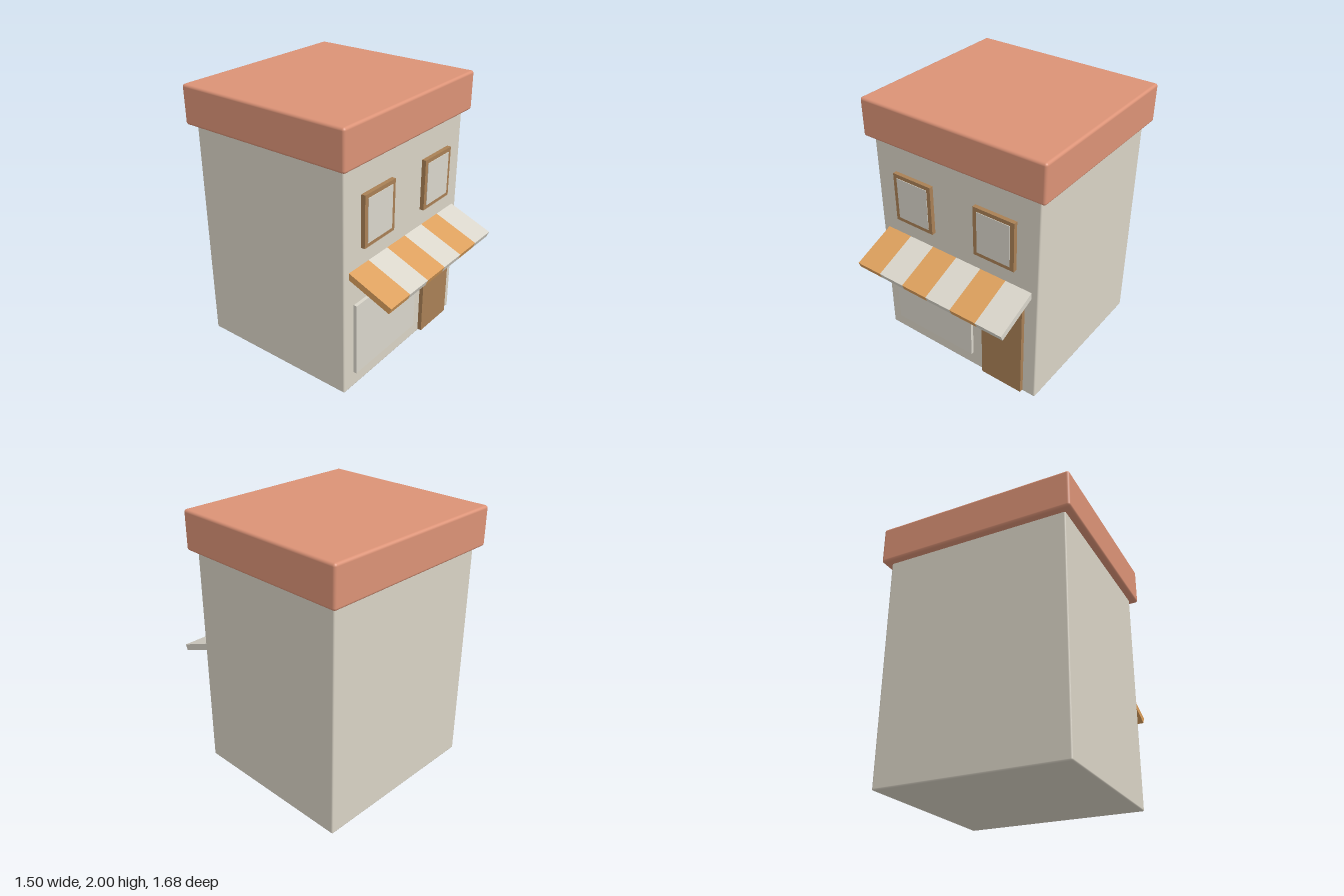
import * as THREE from 'three';
import { RoundedBoxGeometry } from 'three/addons/geometries/RoundedBoxGeometry.js';

function mat(name, color) {
  const m = new THREE.MeshStandardMaterial({ color });
  m.name = name;
  return m;
}

export function createModel() {
  const cream = mat('cream wall', 0xd9d3c5);
  const pale = mat('pale pane', 0xd9d5ca);
  const terracotta = mat('terracotta roof', 0xdb9276);
  const brown = mat('brown wood', 0xa98055);
  const orange = mat('orange awning', 0xdc9f5c);

  const group = new THREE.Group();
  group.name = 'shopHouse';

  // Adds a box given by its extents; a radius rounds its edges
  function box(name, material, [x0, x1], [y0, y1], [z0, z1], radius = 0, parent = group) {
    const size = [x1 - x0, y1 - y0, z1 - z0];
    const geo = radius ? new RoundedBoxGeometry(...size, 3, radius) : new THREE.BoxGeometry(...size);
    const mesh = new THREE.Mesh(geo, material);
    mesh.name = name;
    mesh.position.set((x0 + x1) / 2, (y0 + y1) / 2, (z0 + z1) / 2);
    parent.add(mesh);
    return mesh;
  }

  // Main block and overhanging roof slab
  box('walls', cream, [-0.695, 0.695], [0, 1.74], [-0.785, 0.505], 0.012);
  box('roof', terracotta, [-0.75, 0.75], [1.71, 2], [-0.84, 0.555], 0.02);

  // Ground floor: display window and door
  box('shopWindow', pale, [-0.59, 0.135], [0.125, 0.69], [0.49, 0.53]);
  box('door', brown, [0.24, 0.59], [0.015, 0.795], [0.48, 0.537]);

  // Upper windows: wooden frame with a pane standing slightly proud
  for (const side of [-1, 1]) {
    const win = new THREE.Group();
    win.name = side < 0 ? 'rightWindow' : 'leftWindow';
    win.position.x = side * 0.35;
    group.add(win);
    box('windowFrame', brown, [-0.167, 0.167], [1.1, 1.485], [0.49, 0.537], 0, win);
    box('windowPane', pale, [-0.135, 0.135], [1.13, 1.455], [0.534, 0.541], 0, win);
  }

  // Sloping awning of six alternating stripes
  const awning = new THREE.Group();
  awning.name = 'awning';
  awning.position.set(0, 0.882, 0.649);
  awning.rotation.x = 0.38;
  group.add(awning);
  const w = 1.285 / 6;
  for (let i = 0; i < 6; i++) {
    const x = -0.6425 + i * w;
    box('awningStripe', i % 2 ? pale : orange, [x, x + w], [-0.024, 0.024], [-0.2, 0.2], 0, awning);
  }

  return group;
}
